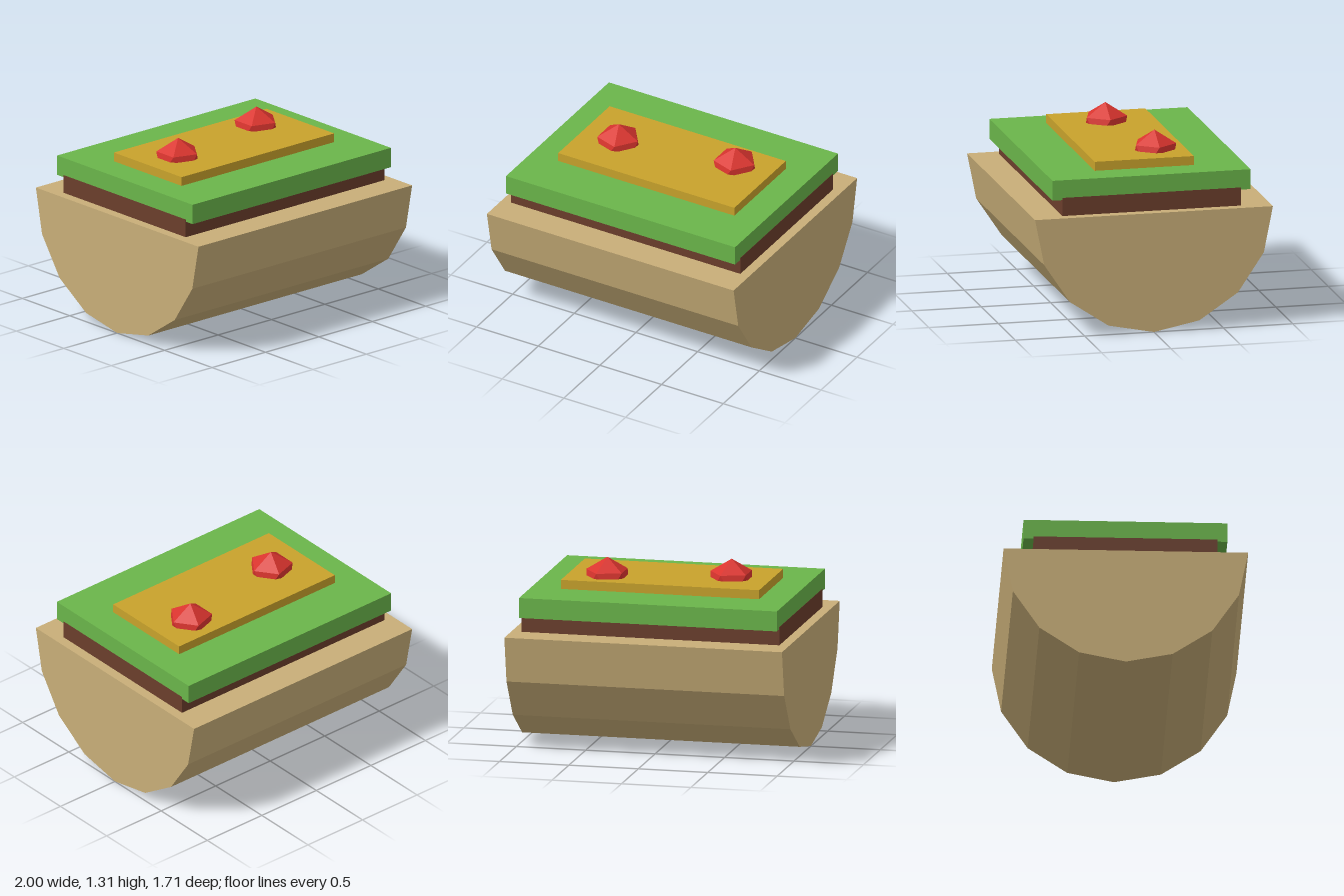
import * as THREE from 'three';

const material = (name, color) => {
  const m = new THREE.MeshStandardMaterial({ color });
  m.name = name;
  return m;
};

export function createModel() {
  const model = new THREE.Group();
  model.name = 'openSandwich';

  const bread = material('bread tan', 0xc8ae78);
  const meat = material('meat brown', 0x6b3e2c);
  const lettuce = material('lettuce green', 0x6ab54a);
  const cheese = material('cheese yellow', 0xc8a22b);
  const tomato = material('tomato red', 0xd9342e);

  const add = (name, geometry, mat, x, y, z) => {
    const mesh = new THREE.Mesh(geometry, mat);
    mesh.name = name;
    mesh.position.set(x, y, z);
    model.add(mesh);
    return mesh;
  };

  // Half-round loaf: eight-sided half circle, extruded along x
  const R = 0.857, sides = 8;
  const profile = [];
  for (let i = 0; i <= sides; i++) {
    const a = Math.PI + (i / sides) * Math.PI;
    profile.push(new THREE.Vector2(R * Math.cos(a), R * Math.sin(a)));
  }
  const loaf = new THREE.ExtrudeGeometry(new THREE.Shape(profile), { depth: 2, bevelEnabled: false });
  loaf.translate(0, 0, -1);
  loaf.rotateY(Math.PI / 2);
  add('breadLoaf', loaf, bread, 0, R, 0);

  // Stacked fillings: name, material, width, height, depth, centre height
  const layers = [
    ['meatSlice', meat, 1.859, 0.143, 1.286, 0.916],
    ['lettuceLeaf', lettuce, 1.857, 0.143, 1.428, 1.043],
    ['cheeseSlice', cheese, 1.428, 0.072, 0.714, 1.143],
  ];
  for (const [name, mat, w, h, d, y] of layers) {
    add(name, new THREE.BoxGeometry(w, h, d), mat, 0, y, 0);
  }

  // Faceted tomatoes half sunk in the cheese, one corner pointing up
  const tomatoShape = new THREE.IcosahedronGeometry(0.171, 0);
  tomatoShape.rotateZ(-Math.atan(2 / (1 + Math.sqrt(5))));
  add('rightTomato', tomatoShape, tomato, -0.43, 1.143, 0);
  add('leftTomato', tomatoShape, tomato, 0.43, 1.143, -0.143);

  return model;
}
